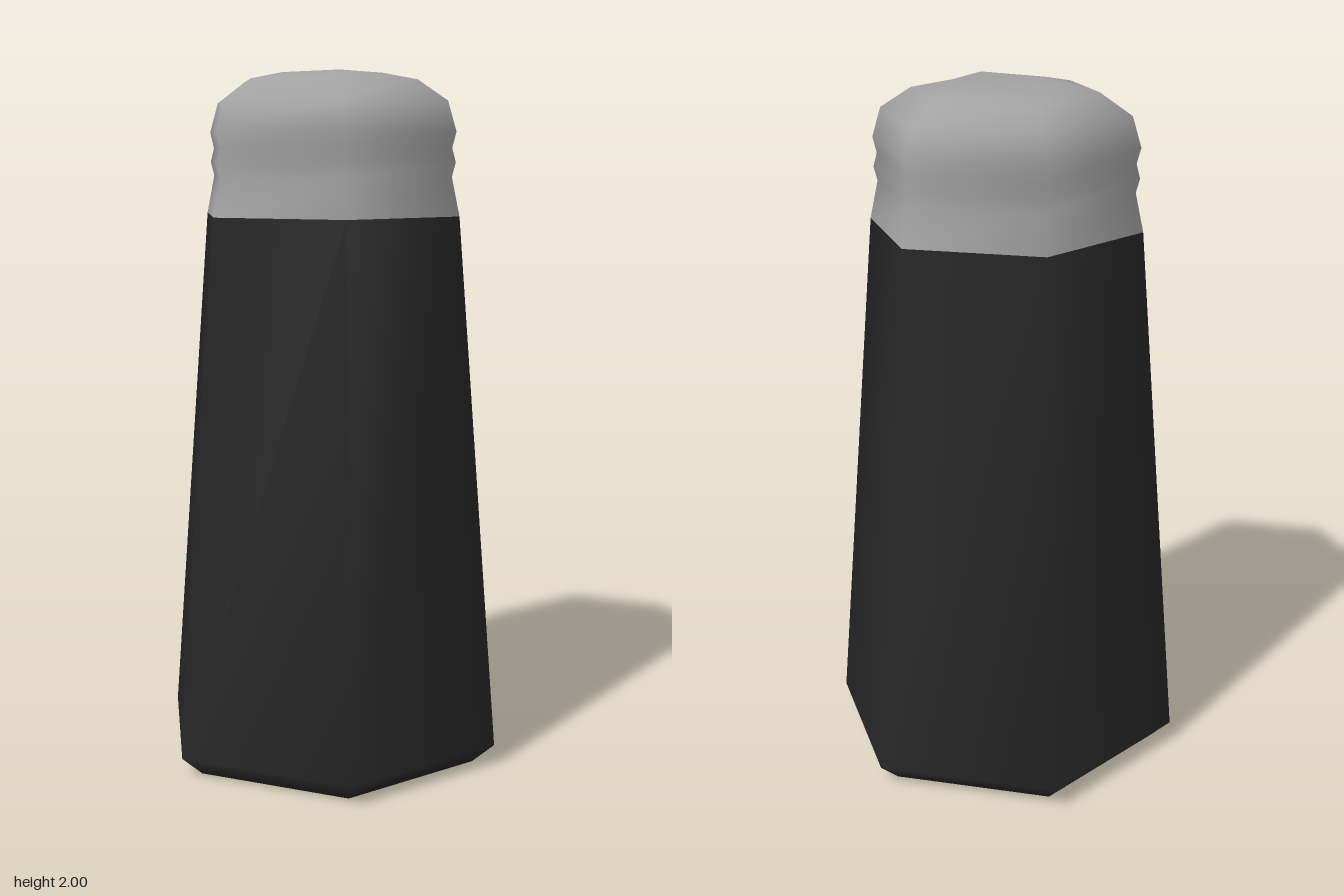
import * as THREE from 'three';

// Six-sided ring: corners at +-z and four side corners at (+-x, +-zSide)
function hexRing(y, z, x = z * 0.866, zSide = z / 2) {
  return [[0, y, z], [x, y, zSide], [x, y, -zSide], [0, y, -z], [-x, y, -zSide], [-x, y, zSide]];
}

// Smooth skin over rings listed from bottom to top, with optional end faces
function loft(rings, closeBottom, closeTop) {
  const points = rings.flat();
  const index = [];
  const n = 6;
  for (let r = 0; r < rings.length - 1; r++) {
    for (let i = 0; i < n; i++) {
      const j = (i + 1) % n;
      const a = r * n + i, b = r * n + j;
      index.push(a, b, b + n, a, b + n, a + n);
    }
  }
  const addEnd = (r, up) => {
    const centre = points.length;
    points.push([0, rings[r][0][1], 0]);
    for (let i = 0; i < n; i++) {
      const a = r * n + i, b = r * n + (i + 1) % n;
      index.push(centre, up ? a : b, up ? b : a);
    }
  };
  if (closeBottom) addEnd(0, false);
  if (closeTop) addEnd(rings.length - 1, true);
  const geometry = new THREE.BufferGeometry();
  geometry.setAttribute('position', new THREE.Float32BufferAttribute(points.flat(), 3));
  geometry.setIndex(index);
  geometry.computeVertexNormals();
  return geometry;
}

export function createModel() {
  const group = new THREE.Group();
  const darkBody = new THREE.MeshStandardMaterial({ name: 'darkBody', color: 0x272727 });
  const greyCap = new THREE.MeshStandardMaterial({ name: 'greyCap', color: 0xa2a2a2 });

  // Tapered body with a bevelled foot
  const body = new THREE.Mesh(loft([
    hexRing(0, 0.46),
    hexRing(0.06, 0.527),
    hexRing(1.6, 0.398),
  ], true, false), darkBody);
  body.name = 'body';

  // Ribbed cap with a rounded top, which narrows more across x than along z
  const cap = new THREE.Mesh(loft([
    hexRing(1.6, 0.398),
    hexRing(1.71, 0.374),
    hexRing(1.75, 0.385),
    hexRing(1.79, 0.374),
    hexRing(1.835, 0.386),
    hexRing(1.92, 0.364, 0.312, 0.18),
    hexRing(1.98, 0.31, 0.235, 0.125),
    hexRing(2, 0.236, 0.143, 0.075),
  ], false, true), greyCap);
  cap.name = 'cap';

  group.add(body, cap);
  return group;
}
